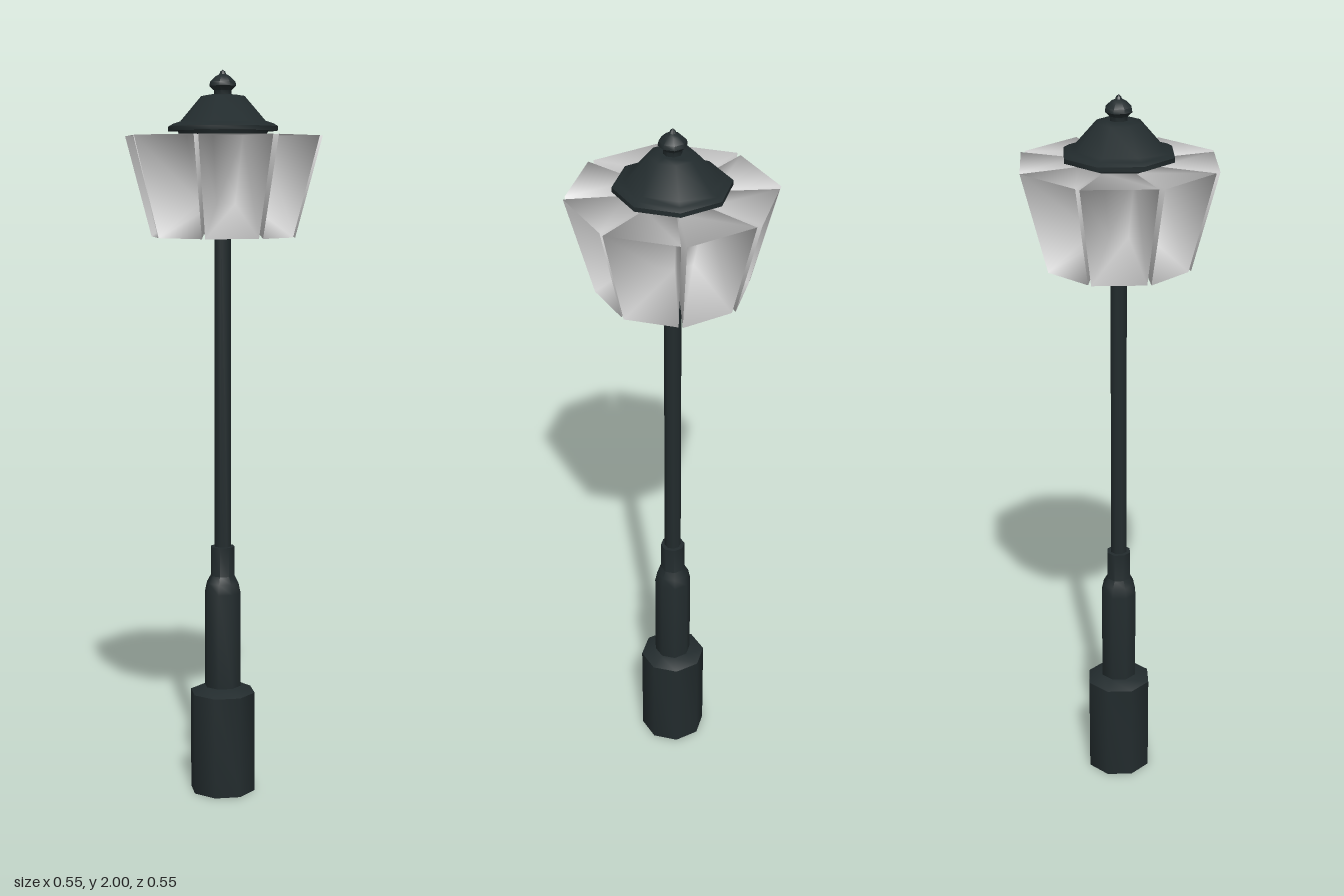
import * as THREE from 'three';
import { toCreasedNormals } from 'three/addons/utils/BufferGeometryUtils.js';

const SIDES = 8;
const metal = new THREE.MeshStandardMaterial({ color: 0x222b2d });
const glass = new THREE.MeshStandardMaterial({ color: 0xcccccc, side: THREE.DoubleSide });

// Eight-sided turned part from [radius, height] points, bottom to top
function turned(name, profile) {
  const points = profile.map(([r, y]) => new THREE.Vector2(r, y));
  const geometry = toCreasedNormals(new THREE.LatheGeometry(points, SIDES), 0.85);
  const mesh = new THREE.Mesh(geometry, metal);
  mesh.name = name;
  return mesh;
}

// Wedge-shaped glass box, open on its outer side: the [radius, height] section
// is swept along one octagon side, leaving a narrow gap to its neighbour
function paneGeometry(section, gap) {
  const step = (Math.PI * 2) / SIDES;
  const positions = [];
  for (const t of [gap, 1]) {
    for (const [r, y] of section) {
      positions.push(r * (1 - t + t * Math.cos(step)), y, r * t * Math.sin(step));
    }
  }
  const index = [];
  const quad = (a, b, c, d) => index.push(a, b, c, a, c, d);
  for (let i = 0; i < 3; i++) quad(i, i + 1, i + 5, i + 4); // top, inner pane, bottom
  quad(3, 2, 1, 0); // radial walls
  quad(4, 5, 6, 7);
  const geometry = new THREE.BufferGeometry();
  geometry.setAttribute('position', new THREE.Float32BufferAttribute(positions, 3));
  geometry.setIndex(index);
  geometry.computeVertexNormals();
  return geometry;
}

export function createModel() {
  const model = new THREE.Group();
  model.name = 'streetLamp';

  // Stepped foot, slim pole and the cup under the lantern
  model.add(turned('base', [
    [0, 0], [0.092, 0], [0.092, 0.285], [0.055, 0.302], [0, 0.302],
  ]));
  model.add(turned('lowerColumn', [
    [0.051, 0.29], [0.051, 0.57], [0.045, 0.598], [0.034, 0.618], [0.034, 0.7], [0, 0.7],
  ]));
  model.add(turned('pole', [[0.023, 0.69], [0.023, 1.64]]));
  model.add(turned('lanternCup', [
    [0.023, 1.605], [0.045, 1.615], [0.068, 1.643], [0, 1.643],
  ]));

  // Ring of glass boxes around the light
  const panes = new THREE.Group();
  panes.name = 'lanternGlass';
  const geometry = paneGeometry(
    [[0.273, 1.825], [0.113, 1.825], [0.07, 1.645], [0.2, 1.555]], 0.07);
  for (let i = 0; i < SIDES; i++) {
    const pane = new THREE.Mesh(geometry, glass);
    pane.name = 'glassPane';
    pane.rotation.y = (i * Math.PI * 2) / SIDES;
    panes.add(pane);
  }
  model.add(panes);

  // Roof with brim, topped by a finial
  model.add(turned('roof', [
    [0, 1.826], [0.12, 1.826], [0.125, 1.838], [0.152, 1.838], [0.152, 1.85],
    [0.138, 1.858], [0.118, 1.864], [0.06, 1.93], [0.035, 1.934], [0, 1.934],
  ]));
  model.add(turned('finial', [
    [0.024, 1.93], [0.024, 1.945], [0.037, 1.957], [0.035, 1.968],
    [0.02, 1.982], [0.009, 1.988], [0.007, 1.994], [0, 2],
  ]));
  return model;
}
